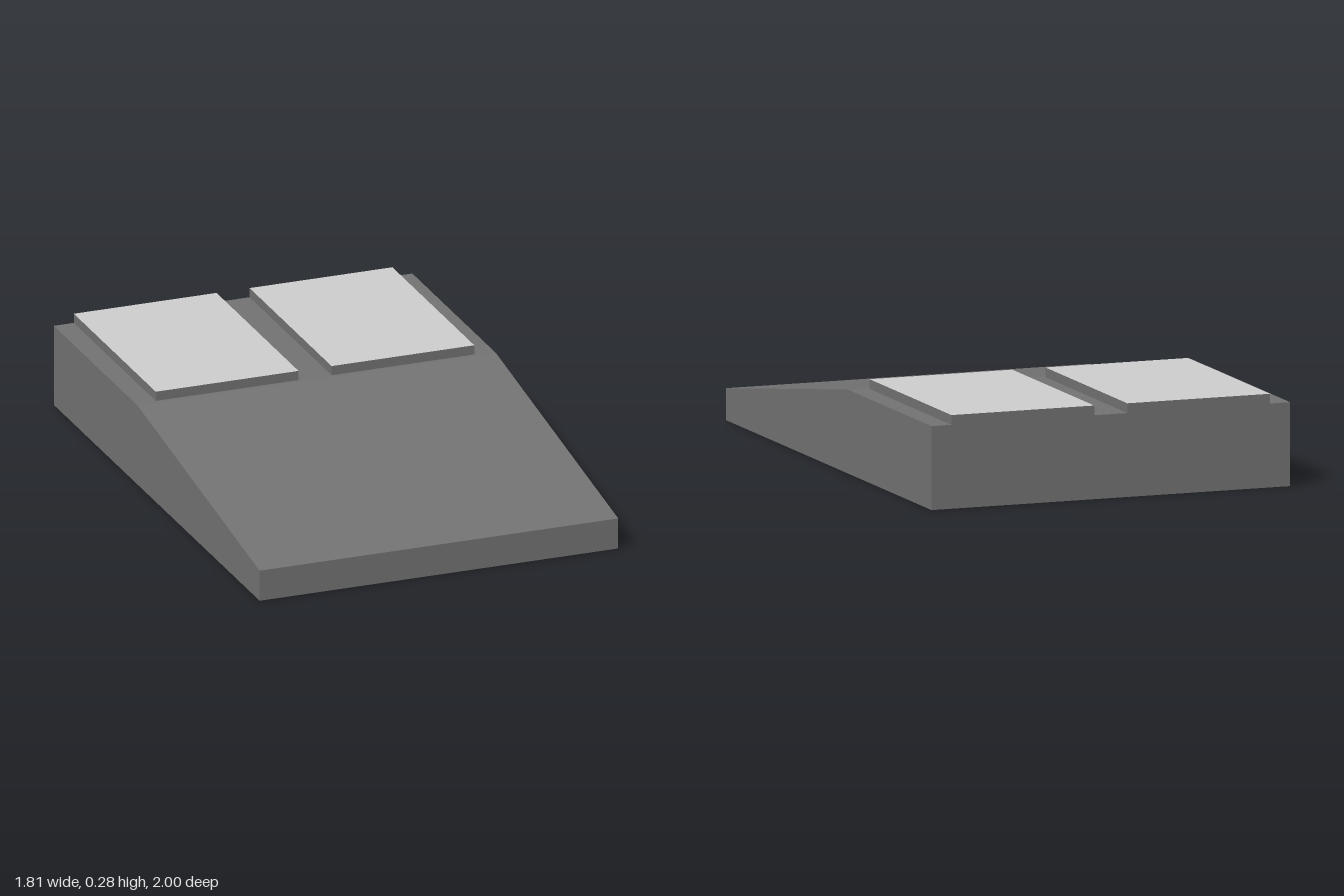
import * as THREE from 'three';

const WIDTH = 1.13, HALF_LENGTH = 0.8285;
const DECK_Y = 0.25, LIP_Y = 0.095, DECK_END = -0.155;

export function createModel() {
  const model = new THREE.Group();
  model.name = 'rampBlock';

  const darkGrey = new THREE.MeshStandardMaterial({ color: 0x737373 });
  darkGrey.name = 'dark grey';
  const lightGrey = new THREE.MeshStandardMaterial({ color: 0xcecece });
  lightGrey.name = 'light grey';

  // Wedge body: side profile (length, height) extruded across the width
  const profile = new THREE.Shape([
    [-HALF_LENGTH, 0], [HALF_LENGTH, 0], [HALF_LENGTH, LIP_Y],
    [DECK_END, DECK_Y], [-HALF_LENGTH, DECK_Y],
  ].map(([l, h]) => new THREE.Vector2(l, h)));
  const bodyGeometry = new THREE.ExtrudeGeometry(profile, { depth: WIDTH, bevelEnabled: false });
  bodyGeometry.rotateY(-Math.PI / 2).translate(WIDTH / 2, 0, 0);
  const body = new THREE.Mesh(bodyGeometry, darkGrey);
  body.name = 'body';
  model.add(body);

  // Two raised pads, flush with the back edge; only their tops are light
  const padLength = 0.66, padHeight = 0.029;
  const padMaterials = [darkGrey, darkGrey, lightGrey, darkGrey, darkGrey, darkGrey];
  for (const side of [-1, 1]) {
    const pad = new THREE.Mesh(new THREE.BoxGeometry(0.45, padHeight, padLength), padMaterials);
    pad.position.set(side * 0.277, DECK_Y + padHeight / 2, -HALF_LENGTH + padLength / 2);
    pad.name = side > 0 ? 'leftPad' : 'rightPad';
    model.add(pad);
  }

  // The whole block sits turned on the ground
  model.rotation.y = Math.PI / 6;
  return model;
}
